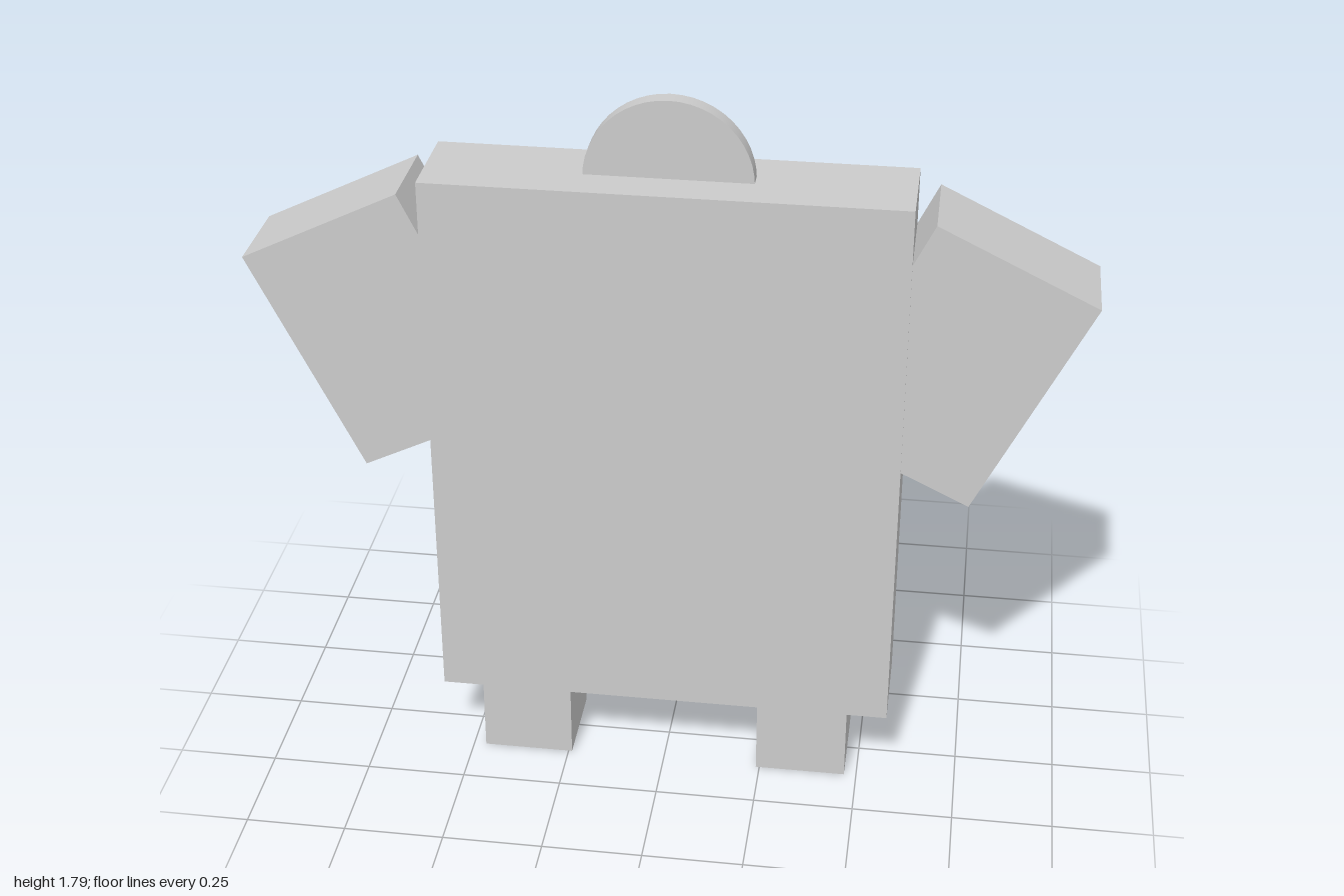
import * as THREE from 'three';

export function createModel() {
  const model = new THREE.Group();
  const material = new THREE.MeshStandardMaterial({ color: 0xcccccc });

  const add = (name, geometry, x, y, tilt = 0) => {
    const mesh = new THREE.Mesh(geometry, material);
    mesh.name = name;
    mesh.position.set(x, y, 0);
    mesh.rotation.z = tilt;
    model.add(mesh);
  };

  // Slab body
  add('body', new THREE.BoxGeometry(1.14, 1.405, 0.24), 0, 0.8975);

  // Thin disc head, its lower half sunk into the body
  const disc = new THREE.CylinderGeometry(0.2, 0.2, 0.042, 48).rotateX(Math.PI / 2);
  add('head', disc, 0, 1.592);

  // Mirrored arms and legs
  for (const [side, s] of [['left', 1], ['right', -1]]) {
    add(side + 'Arm', new THREE.BoxGeometry(0.423, 0.606, 0.228), s * 0.6775, 1.2, -s * 0.453);
    add(side + 'Leg', new THREE.BoxGeometry(0.228, 0.2, 0.228), s * 0.355, 0.1);
  }

  return model;
}
